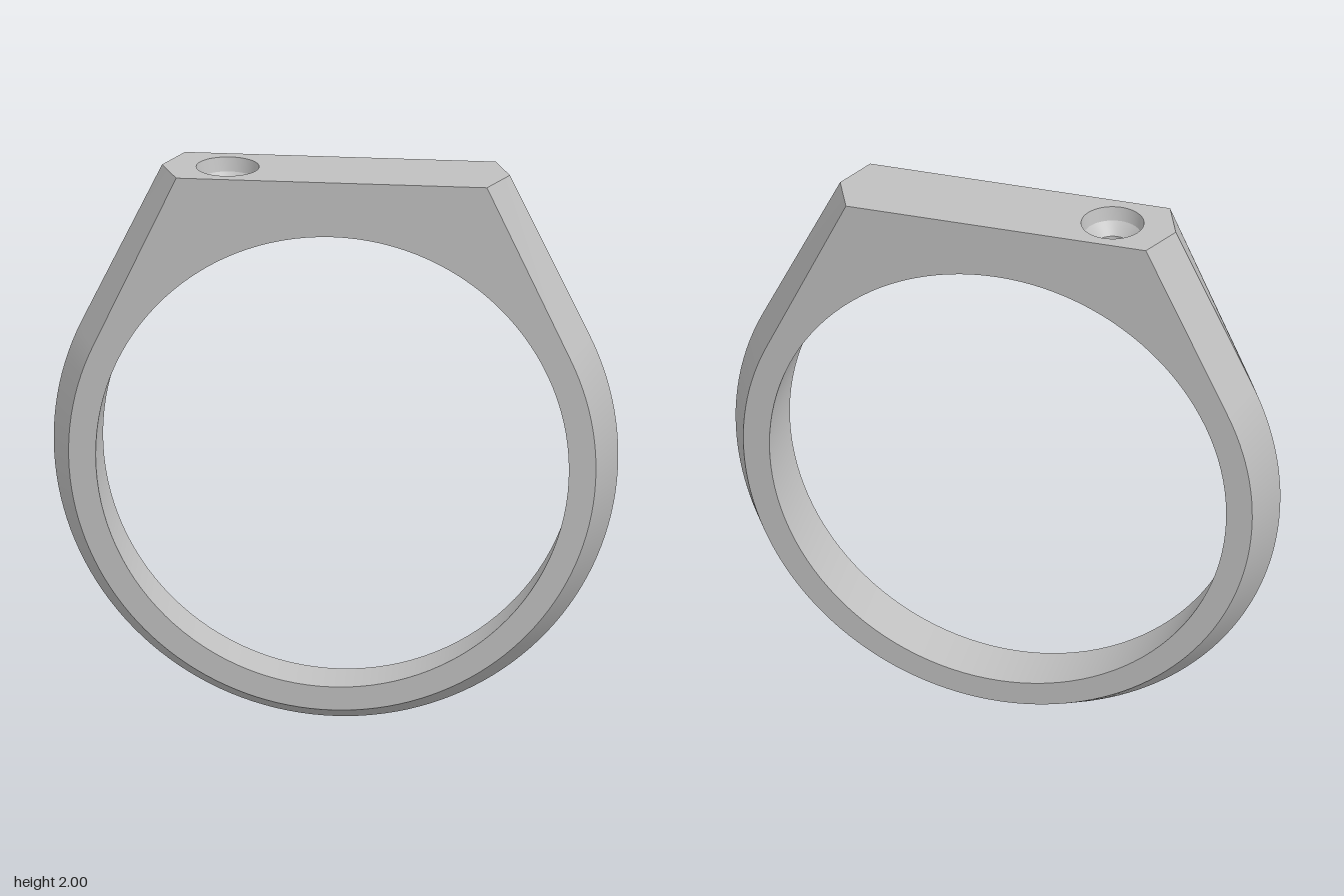
import * as THREE from 'three';
import { mergeVertices } from 'three/addons/utils/BufferGeometryUtils.js';

const TOP = 2;
const BORE = { x: -0.38, rim: 0.11, seat: 0.1, hole: 0.06 };
const INNER = { y: 0.97, r: 0.83 };

// half thickness of the band, growing towards the flat top
const halfWidth = (y) => 0.104 + 0.0235 * y;

// round outline with straight tangents up to the flat top, from top left, under, to top right
function outline(cy, r, topX) {
  const tangent = Math.atan2(TOP - cy, topX) - Math.acos(r / Math.hypot(topX, TOP - cy));
  const points = [new THREE.Vector2(-topX, TOP)];
  const n = 96;
  for (let i = 0; i <= n; i++) {
    const a = -Math.PI - tangent + (i / n) * (Math.PI + 2 * tangent);
    points.push(new THREE.Vector2(r * Math.cos(a), cy + r * Math.sin(a)));
  }
  points.push(new THREE.Vector2(topX, TOP));
  return points;
}

// smooth surface between two matching rows of points
function strips(...pairs) {
  const pos = [];
  for (const [a, b] of pairs) {
    for (let i = 0; i < a.length - 1; i++) {
      for (const p of [a[i], b[i], b[i + 1], a[i], b[i + 1], a[i + 1]]) pos.push(p.x, p.y, p.z);
    }
  }
  let geo = new THREE.BufferGeometry();
  geo.setAttribute('position', new THREE.Float32BufferAttribute(pos, 3));
  geo = mergeVertices(geo, 1e-5);
  geo.computeVertexNormals();
  return geo;
}

export function createModel() {
  const group = new THREE.Group();
  group.name = 'ring';
  const metal = new THREE.MeshStandardMaterial({ color: 0xc0c0c0 });
  metal.name = 'grey metal';
  const add = (name, geo) => {
    const mesh = new THREE.Mesh(geo, metal);
    mesh.name = name;
    group.add(mesh);
    return mesh;
  };
  const v3 = (x, y, z) => new THREE.Vector3(x, y, z);

  const faceLine = outline(0.98, 0.925, 0.545);
  const ridgeLine = outline(0.99, 0.99, 0.61);

  // angles around the finger hole, with extra ones where the bore breaks through
  const angles = [];
  for (let i = 0; i <= 120; i++) angles.push((i / 120) * Math.PI * 2);
  for (let i = 0; i <= 24; i++) {
    angles.push(Math.acos((BORE.x + BORE.hole * Math.cos((i / 24) * Math.PI)) / INNER.r));
  }
  angles.sort((a, b) => a - b);
  const innerLine = angles.map((a) =>
    new THREE.Vector2(INNER.r * Math.cos(a), INNER.y + INNER.r * Math.sin(a)));

  // side faces
  const faceShape = new THREE.Shape(faceLine);
  faceShape.holes.push(new THREE.Path(innerLine.slice(0, -1)));
  const faceGeo = new THREE.ShapeGeometry(faceShape);
  const fp = faceGeo.attributes.position;
  for (let i = 0; i < fp.count; i++) fp.setZ(i, halfWidth(fp.getY(i)));
  faceGeo.computeVertexNormals();
  add('frontFace', faceGeo);
  add('backFace', faceGeo).rotation.y = Math.PI;

  // bevels rising to the central ridge
  const bevelGeo = strips([
    faceLine.map((p) => v3(p.x, p.y, halfWidth(p.y))),
    ridgeLine.map((p) => v3(p.x, p.y, 0)),
  ]);
  add('frontBevel', bevelGeo);
  add('backBevel', bevelGeo).rotation.y = Math.PI;

  // inner wall of the band, split around the bore
  const wall = (f) => innerLine.map((p) => {
    const dx = p.x - BORE.x;
    const gap = p.y > INNER.y ? Math.sqrt(Math.max(0, BORE.hole ** 2 - dx * dx)) : 0;
    return v3(p.x, p.y, f(halfWidth(p.y), gap));
  });
  add('innerWall', strips(
    [wall((w) => -w), wall((w, g) => -g)],
    [wall((w, g) => g), wall((w) => w)],
  ));

  // flat top with the bore opening
  const w = halfWidth(TOP);
  const topShape = new THREE.Shape([
    [-0.61, 0], [-0.545, -w], [0.545, -w], [0.61, 0], [0.545, w], [-0.545, w],
  ].map(([x, z]) => new THREE.Vector2(x, z)));
  const opening = new THREE.Path();
  opening.absarc(BORE.x, 0, BORE.rim, 0, Math.PI * 2, true);
  topShape.holes.push(opening);
  add('flatTop', new THREE.ShapeGeometry(topShape, 24).rotateX(-Math.PI / 2).translate(0, TOP, 0));

  // stepped bore: recess, countersink and through hole
  const circle = (r, height) => Array.from({ length: 49 }, (_, i) => {
    const a = (i / 48) * Math.PI * 2;
    const x = BORE.x + r * Math.cos(a);
    return v3(x, height(x), r * Math.sin(a));
  });
  const rim = circle(BORE.rim, () => TOP);
  const seat = circle(BORE.seat, () => TOP - 0.05);
  const neck = circle(BORE.hole, () => TOP - 0.09);
  const exit = circle(BORE.hole, (x) => INNER.y + Math.sqrt(INNER.r ** 2 - x * x));
  add('boreRecess', strips([rim, seat]));
  add('boreCountersink', strips([seat, neck]));
  add('boreHole', strips([neck, exit]));

  return group;
}
